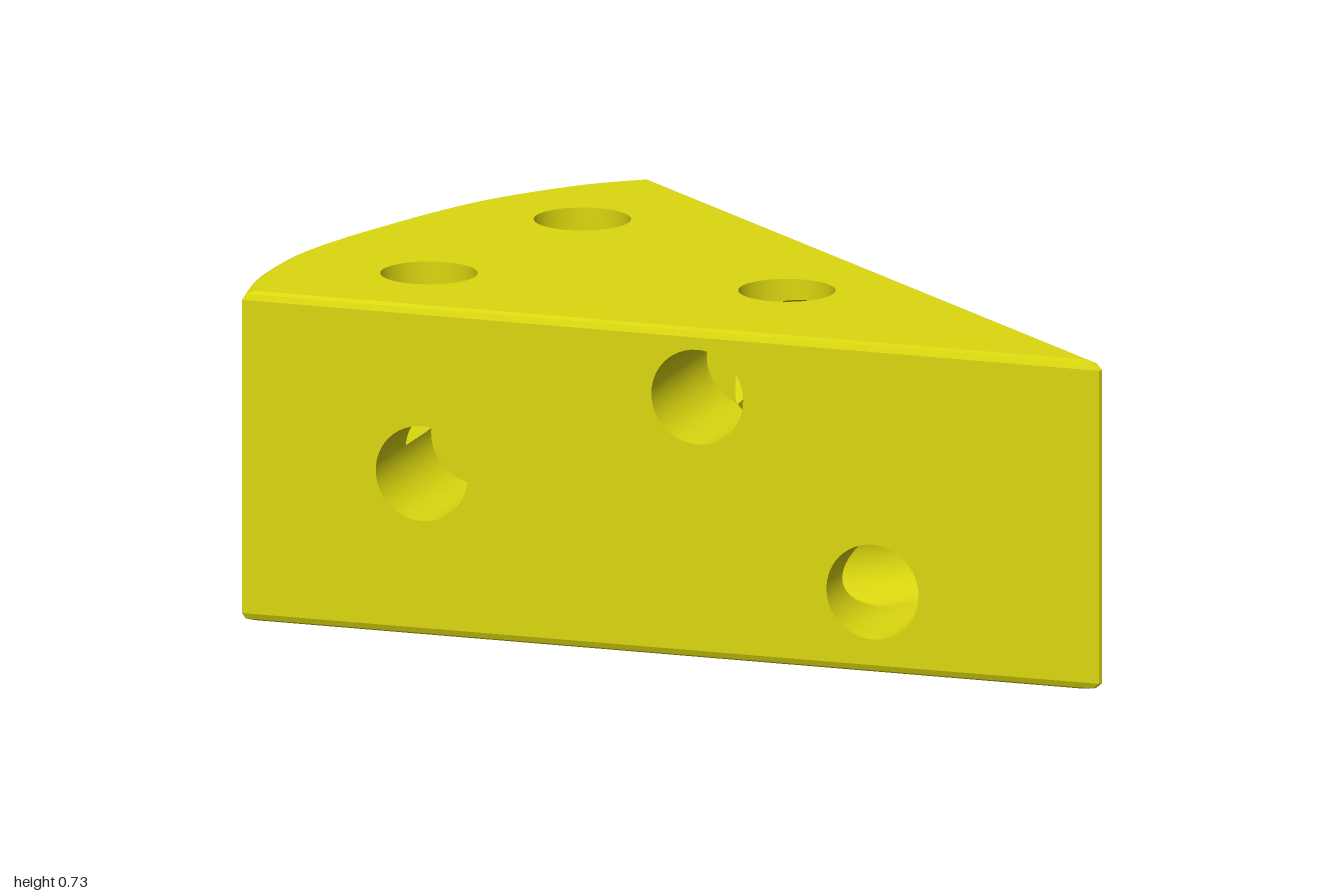
import * as THREE from 'three';
import { toCreasedNormals } from 'three/addons/utils/BufferGeometryUtils.js';

const H = 0.73, BEVEL = 0.018, TIP = 1.014, NOSE = 0.015, BACK = -0.835;
const A = Math.atan2(0.685, TIP - BACK);
const SIN = Math.sin(A), COS = Math.cos(A);
const DEPTH = 0.36, R = 0.105;
const V = (x, y, z) => new THREE.Vector3(x, y, z);

// Wedge outline as (x, z) points, inset by d: right side, curved rind, left side
function outline(d) {
  const tip = TIP - d / SIN, back = BACK + d * 0.8;
  const nose = [NOSE * SIN, tip - NOSE * COS];
  const half = [[(tip - back) * Math.tan(A), back], [0.54, -0.91 + d], [0.34, -0.975 + d], [0.17, -0.997 + d]];
  const mirror = ([x, z]) => [-x, z];
  const knots = [...half, [0, -1 + d], ...half.map(mirror).reverse()];
  const rind = new THREE.SplineCurve(knots.map(([x, z]) => new THREE.Vector2(x, z))).getPoints(32);
  return [nose, ...rind.map((p) => [p.x, p.y]), mirror(nose)];
}

// Face frame: X and Y lie in the face, Z points outward
function frame(x, y, origin) {
  return new THREE.Matrix4().makeBasis(x, y, x.clone().cross(y)).setPosition(origin);
}

function fromTriangles(positions) {
  const geo = new THREE.BufferGeometry();
  geo.setAttribute('position', new THREE.Float32BufferAttribute(positions, 3));
  return toCreasedNormals(geo, 0.4);
}

// Flat face with round openings
function faceGeometry(points, holes, matrix) {
  const shape = new THREE.Shape(points.map(([x, y]) => new THREE.Vector2(x, y)));
  for (const [x, y] of holes) {
    shape.holes.push(new THREE.Path().absarc(x, y, R, 0, Math.PI * 2, true));
  }
  return new THREE.ShapeGeometry(shape, 24).applyMatrix4(matrix);
}

// Rind, nose and bevelled edges, leaving the two flat sides open
function edgeGeometry() {
  const levels = [[BEVEL, 0], [BEVEL * 0.3, BEVEL * 0.3], [0, BEVEL], [0, H - BEVEL], [BEVEL * 0.3, H - BEVEL * 0.3], [BEVEL, H]];
  const rings = levels.map(([d, y]) => outline(d).map(([x, z]) => [x, y, z]));
  const n = rings[0].length, out = [];
  for (let k = 0; k < rings.length - 1; k++) {
    for (let i = 0; i < n; i++) {
      if (k === 2 && (i === 0 || i === n - 2)) continue;
      const j = (i + 1) % n, lo = rings[k], hi = rings[k + 1];
      out.push(...lo[i], ...lo[j], ...hi[j], ...lo[i], ...hi[j], ...hi[i]);
    }
  }
  return fromTriangles(out);
}

// Signed distance to a bore; negative inside
function boreDistance(bore, p) {
  const q = p.clone().applyMatrix4(bore.inverse);
  return Math.max(Math.hypot(q.x - bore.x, q.y - bore.y) - R, q.z - 0.1, -DEPTH - q.z);
}

// Blind round bore, trimmed where it runs into the other bores
function boreGeometry(bore, others) {
  const profile = [];
  for (let i = 0; i <= 20; i++) profile.push(new THREE.Vector2(R, -DEPTH * i / 20));
  for (let i = 7; i >= 0; i--) profile.push(new THREE.Vector2(Math.max(R * i / 8, 0.0005), -DEPTH));
  const pos = new THREE.LatheGeometry(profile, 48).rotateX(Math.PI / 2)
    .translate(bore.x, bore.y, 0).applyMatrix4(bore.matrix).toNonIndexed().attributes.position;
  const out = [];
  for (let t = 0; t < pos.count; t += 3) {
    const tri = [0, 1, 2].map((k) => V().fromBufferAttribute(pos, t + k));
    const dist = tri.map((p) => Math.min(...others.map((o) => boreDistance(o, p))));
    const kept = [];
    for (let k = 0; k < 3; k++) {
      const m = (k + 1) % 3;
      if (dist[k] >= 0) kept.push(tri[k]);
      if ((dist[k] >= 0) !== (dist[m] >= 0)) {
        kept.push(tri[k].clone().lerp(tri[m], dist[k] / (dist[k] - dist[m])));
      }
    }
    for (let k = 1; k < kept.length - 1; k++) {
      for (const p of [kept[0], kept[k], kept[k + 1]]) out.push(p.x, p.y, p.z);
    }
  }
  return fromTriangles(out);
}

export function createModel() {
  const group = new THREE.Group();
  group.name = 'cheeseWedge';
  const material = new THREE.MeshStandardMaterial({ color: 0xdcd810 });
  const boreMaterial = new THREE.MeshStandardMaterial({ color: 0xdcd810, side: THREE.DoubleSide });
  const add = (name, geometry, mat = material) => {
    const mesh = new THREE.Mesh(geometry, mat);
    mesh.name = name;
    group.add(mesh);
  };

  const along = (z) => (TIP - z) / COS;
  const rectangle = (s) => {
    const a = s * NOSE, b = s * along(BACK);
    const [l, r] = [Math.min(a, b), Math.max(a, b)];
    return [[l, BEVEL], [r, BEVEL], [r, H - BEVEL], [l, H - BEVEL]];
  };
  const cap = outline(BEVEL);

  // Faces with the hole centres in their own frames
  const faces = [
    { name: 'top', matrix: frame(V(1, 0, 0), V(0, 0, -1), V(0, H, 0)),
      points: cap.map(([x, z]) => [x, -z]),
      holes: [[-0.295, 0.635], [0.295, 0.695], [0.075, -0.06]] },
    { name: 'leftSide', matrix: frame(V(SIN, 0, -COS), V(0, 1, 0), V(0, 0, TIP)),
      points: rectangle(1),
      holes: [[0.09, 0.58], [0.4, 0.18], [-0.4, 0.305]].map(([z, y]) => [along(z), y]) },
    { name: 'rightSide', matrix: frame(V(SIN, 0, COS), V(0, 1, 0), V(0, 0, TIP)),
      points: rectangle(-1),
      holes: [[0.14, 0.58], [0.515, 0.18], [-0.45, 0.36]].map(([z, y]) => [-along(z), y]) },
    { name: 'bottom', matrix: frame(V(1, 0, 0), V(0, 0, 1), V(0, 0, 0)), points: cap, holes: [] },
  ];

  add('rindAndEdges', edgeGeometry());
  const bores = [];
  for (const { name, matrix, points, holes } of faces) {
    add(name + 'Face', faceGeometry(points, holes, matrix));
    holes.forEach(([x, y], i) => bores.push({ name: `${name}Hole${i + 1}`, matrix, inverse: matrix.clone().invert(), x, y }));
  }
  for (const bore of bores) {
    add(bore.name, boreGeometry(bore, bores.filter((o) => o !== bore)), boreMaterial);
  }
  return group;
}
